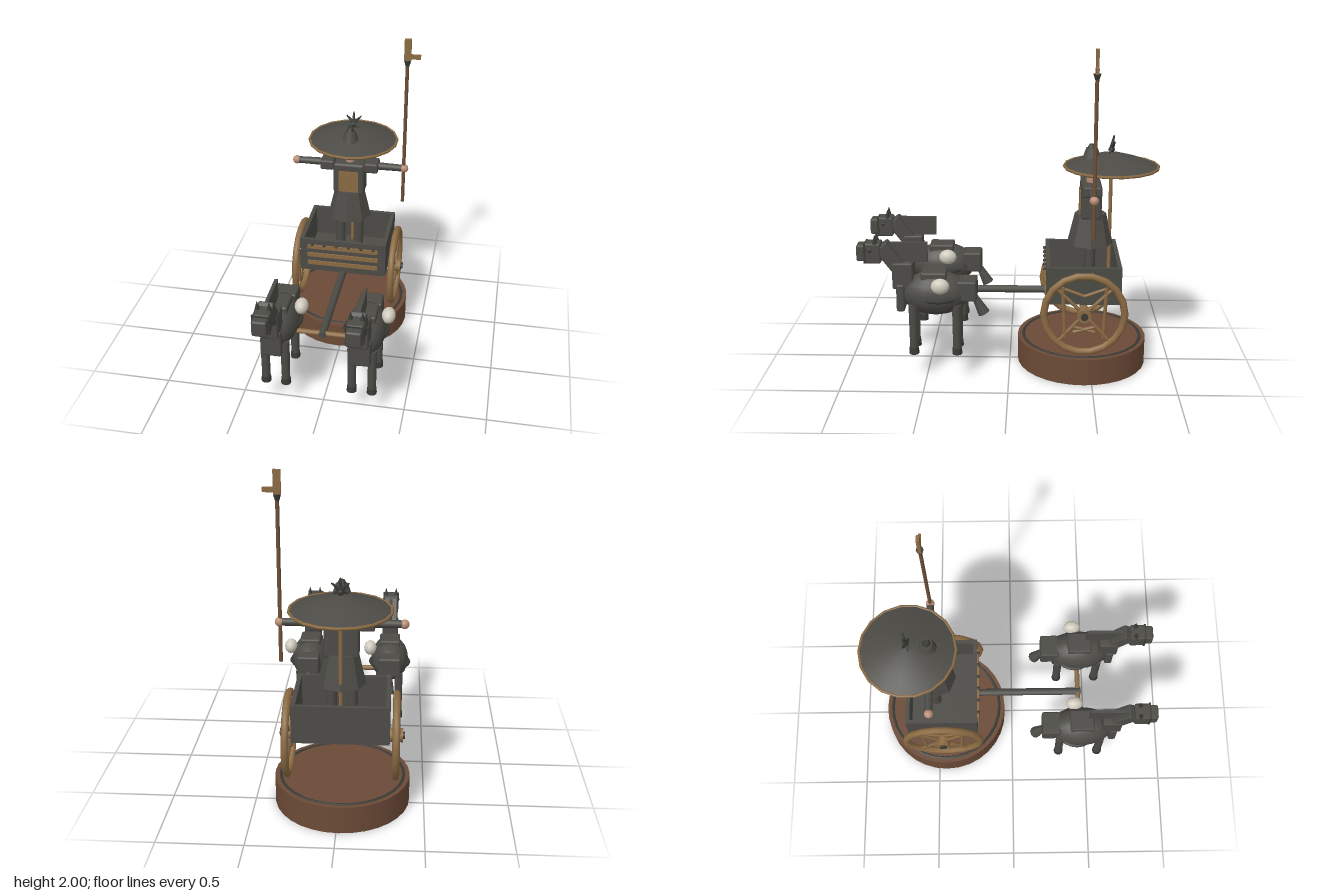
import * as THREE from 'three';
import { RoundedBoxGeometry } from 'three/addons/geometries/RoundedBoxGeometry.js';

const mat = (name, color) => Object.assign(new THREE.MeshStandardMaterial({ color }), { name });

export function createModel() {
  const dark = mat('dark bronze', 0x4c4b46);
  const deep = mat('deep bronze', 0x3a3a36);
  const wood = mat('gilded wood', 0x8b6b43);
  const brown = mat('shaft brown', 0x6e5037);
  const earth = mat('plinth brown', 0x6b4a37);
  const skin = mat('skin', 0xb98d76);
  const pale = mat('pale tassel', 0xcfcabc);
  const under = mat('canopy bronze', 0x4c4b46);
  under.side = THREE.DoubleSide;

  const root = new THREE.Group();
  root.name = 'chariotGroup';
  const group = (name, parent, x = 0, y = 0, z = 0) => {
    const g = new THREE.Group();
    g.name = name;
    g.position.set(x, y, z);
    parent.add(g);
    return g;
  };
  const add = (parent, name, geo, m, x = 0, y = 0, z = 0) => {
    const mesh = new THREE.Mesh(geo, m);
    mesh.name = name;
    mesh.position.set(x, y, z);
    parent.add(mesh);
    return mesh;
  };
  const box = (p, name, m, w, h, d, x, y, z) => add(p, name, new THREE.BoxGeometry(w, h, d), m, x, y, z);
  const soft = (p, name, m, w, h, d, x, y, z, r = 0.012) =>
    add(p, name, new RoundedBoxGeometry(w, h, d, 1, r), m, x, y, z);
  const ball = (p, name, m, rx, ry, rz, x, y, z) => {
    const b = add(p, name, new THREE.SphereGeometry(1, 18, 12), m, x, y, z);
    b.scale.set(rx, ry, rz);
    return b;
  };
  // tapered rod between two points: r0 at a, r1 at b
  const rod = (p, name, m, a, b, r0, r1 = r0, sides = 10) => {
    const A = new THREE.Vector3(...a), B = new THREE.Vector3(...b), dir = B.clone().sub(A);
    const mesh = add(p, name, new THREE.CylinderGeometry(r1, r0, dir.length(), sides), m);
    mesh.position.copy(A).add(B).multiplyScalar(0.5);
    mesh.quaternion.setFromUnitVectors(new THREE.Vector3(0, 1, 0), dir.normalize());
    return mesh;
  };

  // everything shares a centre line slightly right of x = 0
  const model = group('model', root, -0.014, 0, 0);

  // round plinth
  add(model, 'plinth', new THREE.CylinderGeometry(0.4, 0.4, 0.165, 32), earth, 0, 0.0825, -0.45);
  const ring = add(model, 'plinthRing', new THREE.TorusGeometry(0.365, 0.012, 6, 32), deep, 0, 0.16, -0.45);
  ring.rotation.x = Math.PI / 2;

  // open chariot box
  const car = group('chariotBox', model, 0, 0, -0.447);
  box(car, 'floor', dark, 0.56, 0.03, 0.45, 0, 0.485, 0);
  for (const s of [-1, 1]) {
    box(car, 'sideWall', dark, 0.025, 0.23, 0.45, s * 0.2675, 0.585, 0);
    box(car, 'endWall', dark, 0.51, 0.23, 0.025, 0, 0.585, s * 0.2125);
  }
  for (const y of [0.65, 0.59, 0.53]) box(car, 'frontSlat', wood, 0.46, 0.028, 0.009, 0, y, 0.2295);
  for (let i = 0; i < 6; i++) ball(car, 'stud', deep, 0.01, 0.01, 0.01, -0.2 + i * 0.08, 0.667, 0.233);

  // axle and wheels
  rod(model, 'axle', wood, [-0.35, 0.425, -0.45], [0.35, 0.425, -0.45], 0.022);
  for (const s of [-1, 1]) {
    const w = group('wheel', model, s * 0.316, 0.423, -0.45);
    const rim = add(w, 'rim', new THREE.TorusGeometry(0.242, 0.022, 8, 18), wood);
    rim.rotation.y = Math.PI / 2;
    rod(w, 'hub', wood, [-0.04, 0, 0], [0.04, 0, 0], 0.042, 0.042, 12);
    rod(w, 'hubCap', deep, [-0.052, 0, 0], [0.052, 0, 0], 0.022);
    for (const k of [-1, 1]) {
      rod(w, 'spoke', wood, [0, 0, 0], [0, 0.16, k * 0.165], 0.011, 0.011, 6);
      rod(w, 'spoke', wood, [0, 0, 0], [0, -0.17, k * 0.15], 0.011, 0.011, 6);
      rod(w, 'sideBar', wood, [0, -0.15, k * 0.115], [0, 0.17, k * 0.13], 0.011, 0.011, 6);
      rod(w, 'lowerBrace', wood, [0, -0.115, -k * 0.065], [0, -0.08, k * 0.065], 0.011, 0.011, 6);
      rod(w, 'upperBrace', wood, [0, 0.16, k * 0.12], [0, 0.115, 0], 0.01, 0.01, 6);
    }
  }

  // draught pole and yoke
  rod(model, 'draughtPole', dark, [0, 0.46, -0.275], [0, 0.46, 0.455], 0.023);
  rod(model, 'yoke', wood, [-0.26, 0.46, 0.435], [0.26, 0.46, 0.435], 0.016);

  // standing driver
  const man = group('driver', model, 0, 0, -0.491);
  add(man, 'skirt', new THREE.CylinderGeometry(0.095, 0.14, 0.19, 8).toNonIndexed(), dark, 0, 0.868, 0)
    .geometry.computeVertexNormals();
  soft(man, 'torso', dark, 0.2, 0.215, 0.125, 0, 1.05, 0, 0.016);
  box(man, 'chestPlate', wood, 0.126, 0.145, 0.009, 0, 1.037, 0.065);
  rod(man, 'neck', skin, [0, 1.14, 0], [0, 1.21, 0], 0.028);
  ball(man, 'head', skin, 0.063, 0.068, 0.063, 0, 1.248, 0);
  add(man, 'hat', new THREE.CylinderGeometry(0.035, 0.062, 0.085, 12), dark, 0, 1.325, 0);
  add(man, 'hatKnob', new THREE.CylinderGeometry(0.016, 0.028, 0.025, 10), deep, 0, 1.378, 0);
  for (const s of [-1, 1]) {
    rod(man, 'leg', dark, [s * 0.06, 0.49, 0], [s * 0.06, 0.8, 0], 0.032);
    soft(man, 'shoulder', dark, 0.09, 0.065, 0.115, s * 0.142, 1.137, 0);
    rod(man, 'arm', dark, [s * 0.1, 1.137, 0], [s * 0.335, 1.135, 0], 0.026, 0.022);
    ball(man, 'hand', skin, 0.027, 0.027, 0.027, s * 0.35, 1.135, 0);
  }

  // long dagger-axe in the left hand
  const axe = group('daggerAxe', man, 0.347, 0, 0);
  rod(axe, 'shaft', brown, [0, 0.895, 0], [0, 1.85, 0], 0.011, 0.011, 8);
  rod(axe, 'socket', deep, [0, 1.83, 0], [0, 1.865, 0], 0.012, 0.022, 8);
  box(axe, 'blade', wood, 0.042, 0.14, 0.018, 0, 1.93, 0);
  box(axe, 'sideBlade', wood, 0.06, 0.028, 0.014, 0.05, 1.89, 0);

  // parasol
  const parasol = group('parasol', model, 0, 0, -0.61);
  rod(parasol, 'parasolPole', wood, [0, 0.49, 0], [0, 1.34, 0], 0.011, 0.011, 8);
  const profile = [[0.29, 1.256], [0.18, 1.298], [0.08, 1.328], [0.001, 1.338]].map(p => new THREE.Vector2(...p));
  add(parasol, 'canopy', new THREE.LatheGeometry(profile, 18), under);
  const edge = add(parasol, 'canopyRim', new THREE.TorusGeometry(0.284, 0.009, 6, 18), wood, 0, 1.256, 0);
  edge.rotation.set(Math.PI / 2, 0, Math.PI / 2);
  ball(parasol, 'finialKnob', deep, 0.018, 0.022, 0.018, 0, 1.36, 0);
  for (const [x, y, z] of [[0, 1.445, -0.012], [-0.048, 1.415, -0.015], [0.048, 1.415, -0.015], [-0.04, 1.345, 0.015], [0.04, 1.345, 0.015]])
    rod(parasol, 'finialPetal', deep, [0, 1.37, 0], [x, y, z], 0.014, 0.004, 6);

  // pair of horses
  for (const s of [-1, 1]) {
    const h = group('horse', model, s * 0.2625, 0, 0);
    ball(h, 'body', dark, 0.122, 0.135, 0.205, 0, 0.535, 0.44);
    const girth = add(h, 'girthBand', new THREE.TorusGeometry(0.126, 0.012, 6, 20), deep, 0, 0.52, 0.415);
    girth.rotation.x = Math.PI / 2;
    soft(h, 'rump', dark, 0.145, 0.125, 0.12, 0, 0.5625, 0.25);
    rod(h, 'tail', dark, [0, 0.52, 0.21], [0, 0.405, 0.15], 0.018, 0.037);
    soft(h, 'saddle', dark, 0.135, 0.055, 0.155, 0, 0.65, 0.445);
    soft(h, 'chest', dark, 0.125, 0.17, 0.05, 0, 0.515, 0.645);
    soft(h, 'neckBase', dark, 0.105, 0.165, 0.125, 0, 0.65, 0.63);
    const neck = soft(h, 'neck', dark, 0.092, 0.21, 0.09, 0, 0.75, 0.695);
    neck.rotation.x = 0.65;
    soft(h, 'head', dark, 0.1, 0.125, 0.1, 0, 0.79, 0.805);
    soft(h, 'muzzle', dark, 0.09, 0.1, 0.08, 0, 0.79, 0.862);
    box(h, 'bridle', deep, 0.106, 0.118, 0.012, 0, 0.79, 0.85);
    box(h, 'mane', dark, 0.02, 0.12, 0.235, 0, 0.79, 0.6);
    for (const k of [-1, 1]) {
      rod(h, 'ear', deep, [k * 0.034, 0.845, 0.79], [k * 0.034, 0.902, 0.79], 0.017, 0.001, 6);
      ball(h, 'eye', deep, 0.008, 0.012, 0.012, k * 0.049, 0.81, 0.82);
      for (const z of [0.31, 0.57]) {
        rod(h, 'leg', dark, [k * 0.061, 0.18, z], [k * 0.061, 0.48, z], 0.025, 0.028);
        rod(h, 'hoof', deep, [k * 0.061, 0.165, z], [k * 0.061, 0.205, z], 0.031, 0.028);
      }
    }
    ball(h, 'tassel', pale, 0.041, 0.047, 0.055, 0.128, 0.62, 0.4);
  }
  return root;
}
